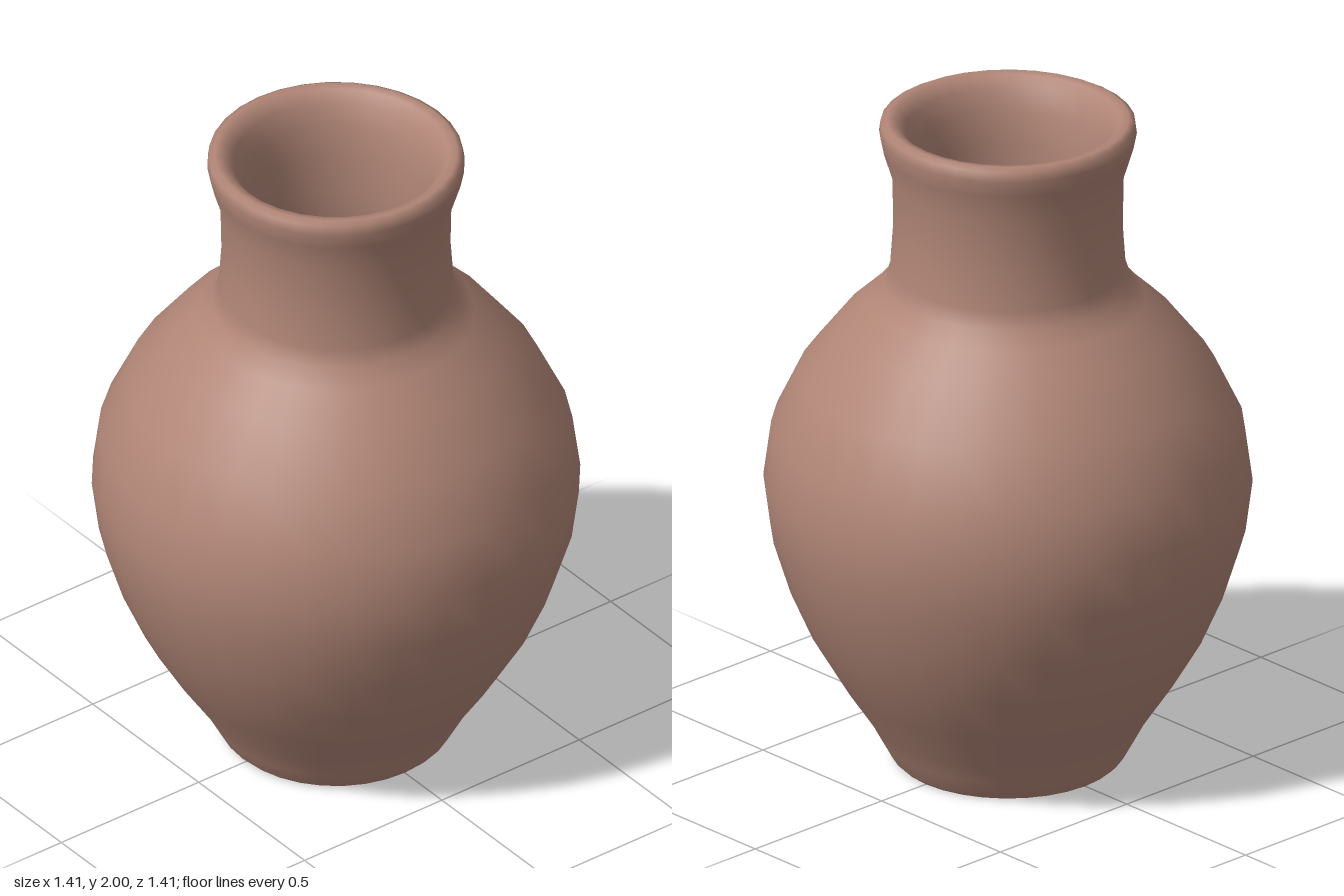
import * as THREE from 'three';

const SEGMENTS = 32;

// Turned surface from [radius, height] pairs, ordered so the faces point outwards
function turned(name, profile, material) {
  const points = profile.map(([r, y]) => new THREE.Vector2(r, y));
  const mesh = new THREE.Mesh(new THREE.LatheGeometry(points, SEGMENTS), material);
  mesh.name = name;
  return mesh;
}

export function createModel() {
  const clay = new THREE.MeshStandardMaterial({ color: 0xb08576 });
  clay.name = 'terracotta clay';

  const vase = new THREE.Group();
  vase.name = 'vase';

  // Flat underside
  vase.add(turned('base', [[0, 0], [0.325, 0]], clay));

  // Foot, belly, neck, rounded lip and hollow inside in one continuous wall
  vase.add(turned('body', [
    // foot and belly
    [0.325, 0], [0.34, 0.015], [0.37, 0.07], [0.402, 0.13], [0.488, 0.26],
    [0.57, 0.4], [0.635, 0.55], [0.685, 0.71], [0.706, 0.87], [0.683, 1.04],
    [0.602, 1.21], [0.485, 1.36], [0.4, 1.44],
    // neck
    [0.357, 1.49], [0.34, 1.54], [0.331, 1.67], [0.334, 1.82], [0.362, 1.91],
    // lip
    [0.372, 1.96], [0.368, 1.99], [0.35, 2], [0.325, 1.995], [0.297, 1.965],
    // inside
    [0.275, 1.9], [0.26, 1.81], [0.258, 1.67], [0.268, 1.52], [0.3, 1.45],
    [0.435, 1.31], [0.54, 1.17], [0.612, 1.02], [0.633, 0.87], [0.612, 0.72],
    [0.565, 0.57], [0.5, 0.42], [0.42, 0.28], [0.33, 0.15], [0.27, 0.08], [0, 0.07],
  ], clay));

  return vase;
}
